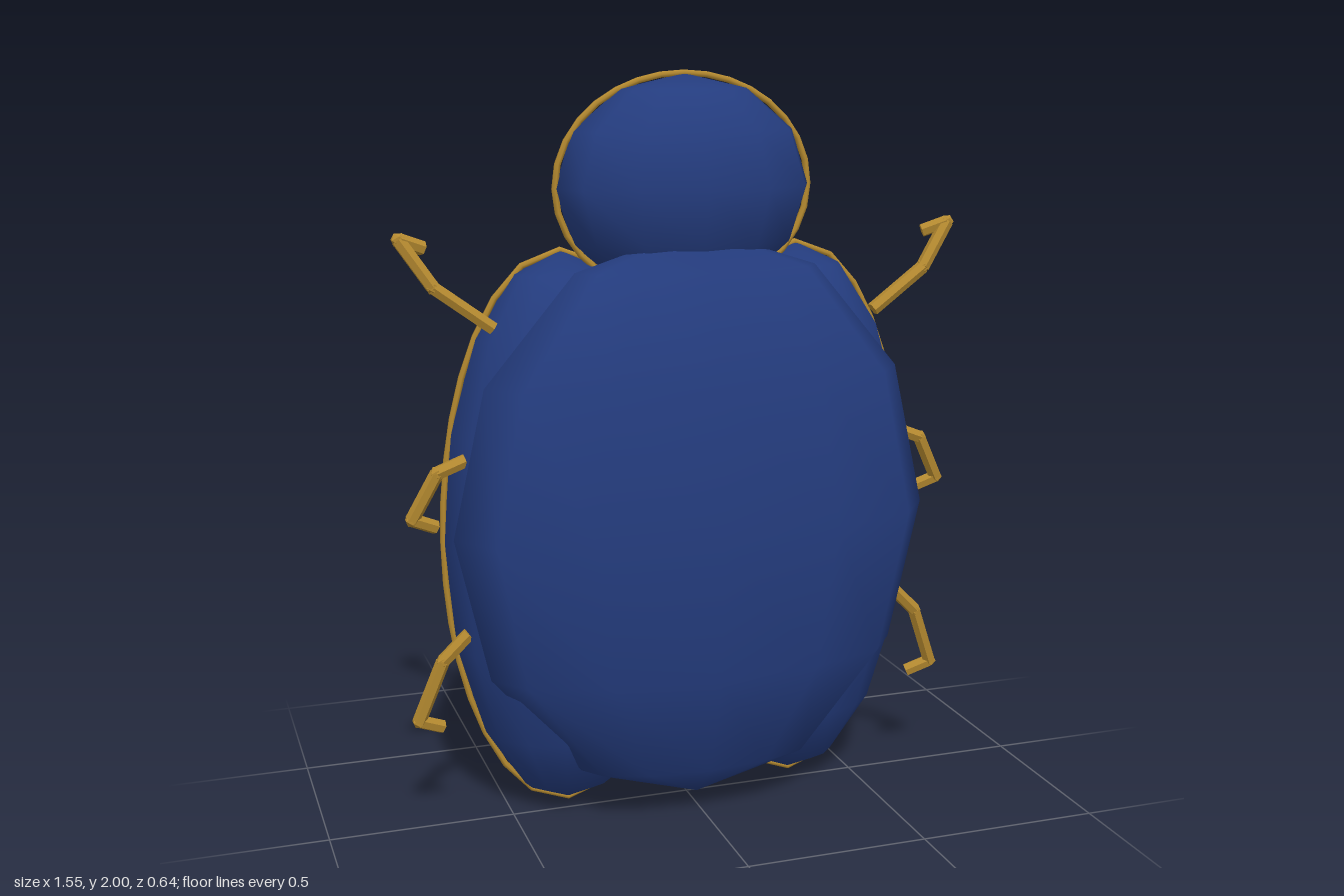
import * as THREE from 'three';

const shellBlue = new THREE.MeshStandardMaterial({ color: 0x243c7e });
const trimGold = new THREE.MeshStandardMaterial({ color: 0xb58a30 });
const gemTeal = new THREE.MeshStandardMaterial({ color: 0x1e8c80 });
trimGold.name = 'trimGold';
shellBlue.name = 'shellBlue';
gemTeal.name = 'gemTeal';

const v = (x, y, z) => new THREE.Vector3(x, y, z);

function addMesh(parent, name, geometry, material) {
  const mesh = new THREE.Mesh(geometry, material);
  mesh.name = name;
  parent.add(mesh);
  return mesh;
}

// Low-poly ellipsoid with its poles along y
function ellipsoid(radii, sides, stacks) {
  return new THREE.SphereGeometry(1, sides, stacks).scale(...radii);
}

// Thin elliptical rim in the xy plane
function rim(rx, ry) {
  const points = [];
  for (let i = 0; i < 24; i++) {
    const a = (i / 24) * Math.PI * 2;
    points.push(v(rx * Math.cos(a), ry * Math.sin(a), 0));
  }
  const curve = new THREE.CatmullRomCurve3(points, true);
  return new THREE.TubeGeometry(curve, 32, 0.009, 6, true);
}

// Straight six-sided rod between two points
function rod(a, b, radius) {
  const dir = b.clone().sub(a);
  const g = new THREE.CylinderGeometry(radius, radius, dir.length(), 6).toNonIndexed();
  g.applyQuaternion(new THREE.Quaternion().setFromUnitVectors(v(0, 1, 0), dir.clone().normalize()));
  g.translate((a.x + b.x) / 2, (a.y + b.y) / 2, (a.z + b.z) / 2);
  g.computeVertexNormals();
  return g;
}

export function createModel() {
  const model = new THREE.Group();
  model.name = 'beetle';

  // Belly and head
  addMesh(model, 'belly', ellipsoid([0.66, 0.78, 0.23], 12, 6), shellBlue).position.set(0, 0.82, 0.09);
  addMesh(model, 'head', ellipsoid([0.35, 0.29, 0.205], 12, 6), shellBlue).position.set(0, 1.7, -0.02);
  addMesh(model, 'headTrim', rim(0.35, 0.291), trimGold).position.set(0, 1.7, -0.02);

  // Oval gem on the back of the head
  addMesh(model, 'gem', ellipsoid([0.06, 0.06, 0.018], 10, 8), gemTeal).position.set(0, 1.76, -0.228);

  // Leg paths on the +x side: root, knee, ankle, toe
  const legs = {
    frontLeg: [[0.53, 1.355], [0.68, 1.465], [0.76, 1.585], [0.695, 1.56]],
    middleLeg: [[0.61, 1.015], [0.685, 0.985], [0.75, 0.86], [0.685, 0.83]],
    rearLeg: [[0.615, 0.545], [0.685, 0.475], [0.75, 0.305], [0.685, 0.275]],
  };
  const legDepth = [0.028, 0.022, 0, -0.02];

  for (const side of [-1, 1]) {
    const label = side > 0 ? 'left' : 'right';

    // Wing case with its gold rim
    const wing = new THREE.Group();
    wing.name = label + 'WingCase';
    wing.position.set(side * 0.33, 0.775, -0.055);
    addMesh(wing, 'wingShell', ellipsoid([0.33, 0.765, 0.27], 14, 8), shellBlue);
    addMesh(wing, 'wingTrim', rim(0.33, 0.765), trimGold);
    model.add(wing);

    // Three bent legs
    for (const [name, path] of Object.entries(legs)) {
      const leg = new THREE.Group();
      leg.name = label + name[0].toUpperCase() + name.slice(1);
      const pts = path.map(([x, y], i) => v(side * x, y, legDepth[i]));
      for (let i = 0; i < 3; i++) {
        addMesh(leg, 'legSegment', rod(pts[i], pts[i + 1], 0.019), trimGold);
        if (i) addMesh(leg, 'legJoint', new THREE.IcosahedronGeometry(0.02, 0), trimGold).position.copy(pts[i]);
      }
      model.add(leg);
    }
  }
  return model;
}
